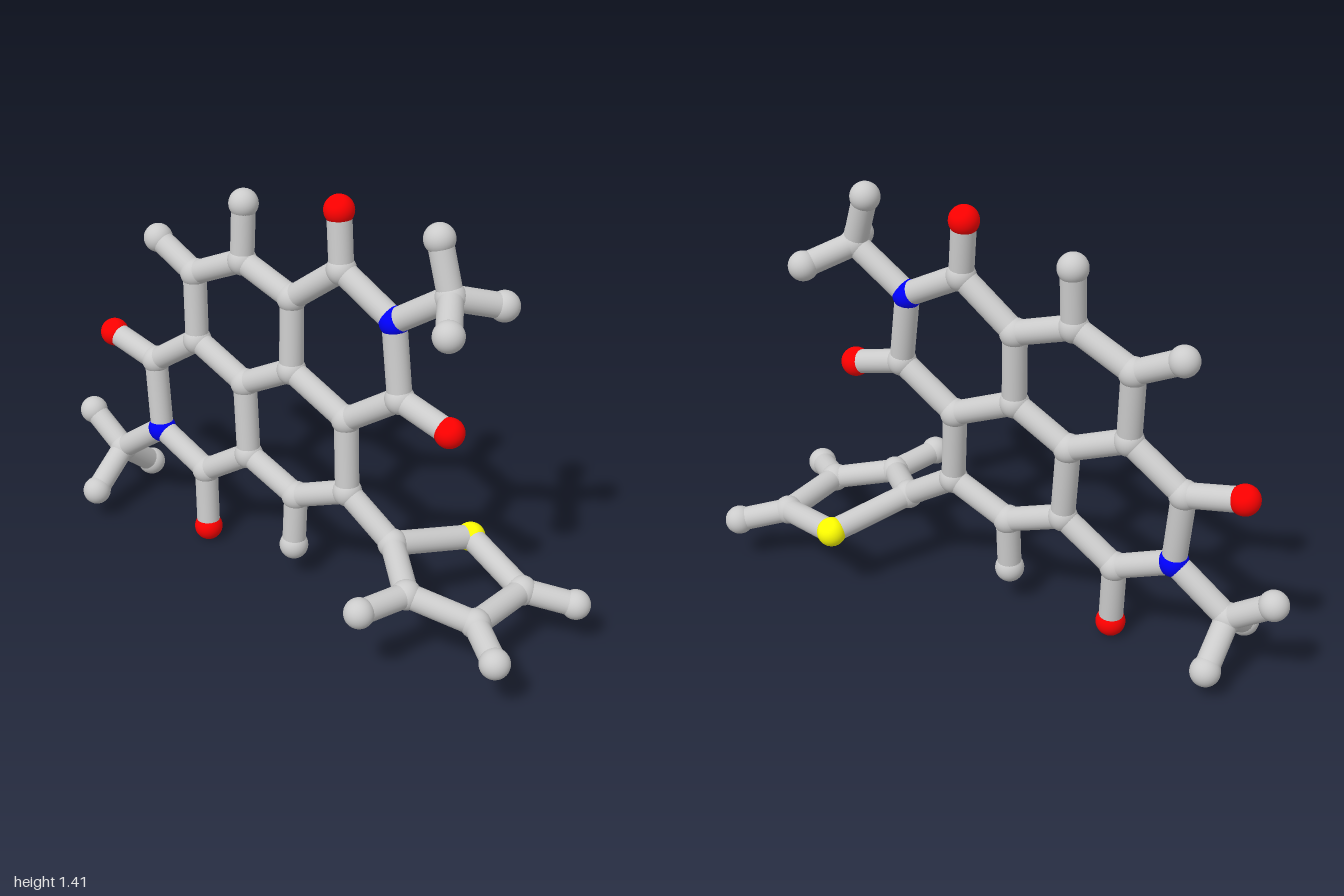
import * as THREE from 'three';

const BOND_RADIUS = 0.04;
const ATOM_RADIUS = 0.049;

// The fused ring sheet lies in one slightly tilted plane.
const sheetZ = (x, y) => -0.045 + 0.046 * x - 0.056 * y;

// Atoms: kind, x, y and, when off the sheet, z
const ATOMS = {
  // fused rings
  c1: ['carbon', 0.14, 1.17], n1: ['nitrogen', 0.35, 1.06], c2: ['carbon', 0.39, 0.81],
  c3: ['carbon', 0.19, 0.67], c4: ['carbon', -0.04, 0.77], c5: ['carbon', -0.05, 1.02],
  c6: ['carbon', -0.26, 1.09], c7: ['carbon', -0.465, 0.99], c8: ['carbon', -0.45, 0.75],
  c9: ['carbon', -0.235, 0.66], c10: ['carbon', -0.21, 0.4], c11: ['carbon', 0, 0.32],
  c12: ['carbon', 0.21, 0.415], c13: ['carbon', -0.64, 0.615], n2: ['nitrogen', -0.61, 0.36],
  c14: ['carbon', -0.4, 0.27],
  // side atoms in the sheet
  o1: ['oxygen', 0.12, 1.36], o2: ['oxygen', 0.58, 0.76],
  o3: ['oxygen', -0.84, 0.66], o4: ['oxygen', -0.385, 0.05],
  h1: ['hydrogen', -0.26, 1.285], h2: ['hydrogen', -0.63, 1.07], h3: ['hydrogen', 0, 0.13],
  // upper methyl
  m1: ['carbon', 0.545, 1.195], m1a: ['hydrogen', 0.49, 1.365],
  m1b: ['hydrogen', 0.65, 1.145, -0.225], m1c: ['hydrogen', 0.64, 1.16, 0.075],
  // lower methyl
  m2: ['carbon', -0.8, 0.215], m2a: ['hydrogen', -0.95, 0.315],
  m2b: ['hydrogen', -0.79, 0.095, -0.23], m2c: ['hydrogen', -0.795, 0.11, 0.065],
  // five-sided ring, turned across the sheet
  t1: ['carbon', 0.4, 0.295, -0.045], s1: ['sulfur', 0.54, 0.24, -0.305],
  t2: ['carbon', 0.8, 0.195, -0.195], t3: ['carbon', 0.78, 0.205, 0.06],
  t4: ['carbon', 0.565, 0.26, 0.125], t2h: ['hydrogen', 0.95, 0.155, -0.28],
  t3h: ['hydrogen', 0.915, 0.18, 0.17], t4h: ['hydrogen', 0.51, 0.27, 0.305],
};

// Each chain joins its atoms one after another.
const CHAINS = [
  'c1 n1 c2 c3 c4 c5 c1', 'c5 c6 c7 c8 c9 c4', 'c9 c10 c11 c12 c3', 'c8 c13 n2 c14 c10',
  'c1 o1', 'c2 o2', 'c13 o3', 'c14 o4', 'c6 h1', 'c7 h2', 'c11 h3',
  'n1 m1 m1a', 'm1b m1 m1c', 'n2 m2 m2a', 'm2b m2 m2c',
  'c12 t1 s1 t2 t3 t4 t1', 't2 t2h', 't3 t3h', 't4 t4h',
];

export function createModel() {
  const model = new THREE.Group();
  model.name = 'molecule';
  const atoms = new THREE.Group();
  atoms.name = 'atoms';
  const bonds = new THREE.Group();
  bonds.name = 'bonds';
  model.add(atoms, bonds);

  const grey = new THREE.MeshStandardMaterial({ color: 0xcccccc });
  const materials = {
    carbon: grey,
    hydrogen: grey,
    oxygen: new THREE.MeshStandardMaterial({ color: 0xff0000 }),
    nitrogen: new THREE.MeshStandardMaterial({ color: 0x0000ff }),
    sulfur: new THREE.MeshStandardMaterial({ color: 0xffff00 }),
  };

  // Atom balls
  const ball = new THREE.SphereGeometry(ATOM_RADIUS, 32, 20);
  const points = {};
  for (const [id, [kind, x, y, z = sheetZ(x, y)]] of Object.entries(ATOMS)) {
    const atom = new THREE.Mesh(ball, materials[kind]);
    atom.name = kind + 'Atom';
    atom.position.set(x, y, z);
    points[id] = atom.position;
    atoms.add(atom);
  }

  // Bond rods
  const rod = new THREE.CylinderGeometry(BOND_RADIUS, BOND_RADIUS, 1, 24, 1, true);
  const up = new THREE.Vector3(0, 1, 0);
  for (const chain of CHAINS) {
    const ids = chain.split(' ');
    for (let i = 1; i < ids.length; i++) {
      const a = points[ids[i - 1]];
      const b = points[ids[i]];
      const along = b.clone().sub(a);
      const bond = new THREE.Mesh(rod, grey);
      bond.name = 'bond';
      bond.position.copy(a).add(b).multiplyScalar(0.5);
      bond.scale.y = along.length();
      bond.quaternion.setFromUnitVectors(up, along.normalize());
      bonds.add(bond);
    }
  }
  return model;
}
